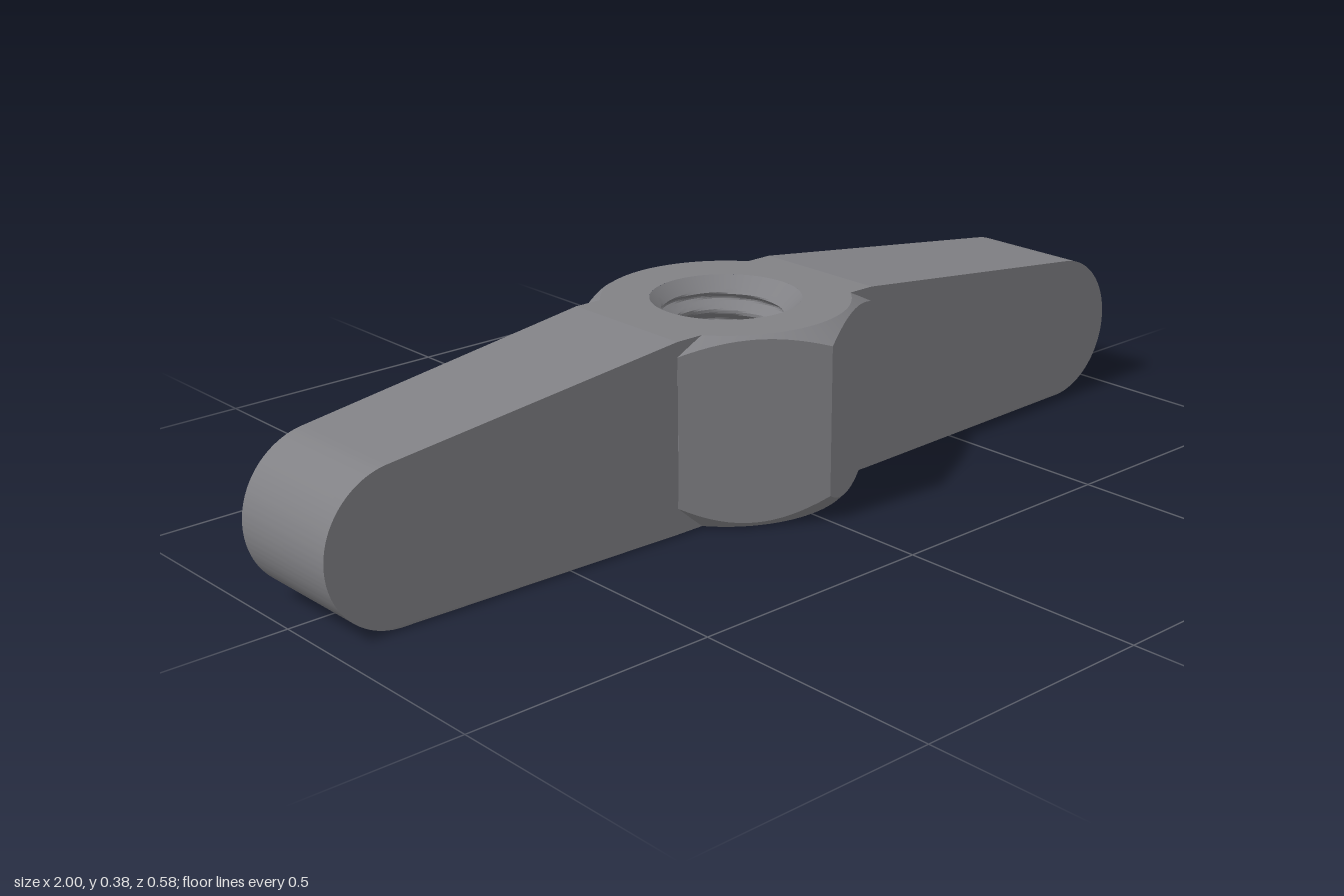
import * as THREE from 'three';
import { toCreasedNormals } from 'three/addons/utils/BufferGeometryUtils.js';

const HEIGHT = 0.375;
const APOTHEM = 0.25; // half the distance across the hexagon flats
const FACE_R = 0.24; // radius of the flat end faces inside the chamfer
const SINK_R = 0.146; // countersink radius at both ends of the bore
const MINOR = 0.107, MAJOR = 0.13, PITCH = 0.045;

const material = new THREE.MeshStandardMaterial({ color: 0x818185 });

// Sweeps a profile of [radius, y] points, which may vary with the angle, round the y axis
function sweep(profileAt, segments, crease) {
  const positions = [], indices = [];
  let count = 0;
  for (let i = 0; i <= segments; i++) {
    const angle = (i / segments) * Math.PI * 2;
    const profile = profileAt(angle);
    count = profile.length;
    for (const [r, y] of profile) positions.push(r * Math.sin(angle), y, r * Math.cos(angle));
  }
  for (let i = 0; i < segments; i++) {
    for (let j = 0; j < count - 1; j++) {
      const a = i * count + j, b = a + count;
      indices.push(a, b, b + 1, a, b + 1, a + 1);
    }
  }
  const geometry = new THREE.BufferGeometry();
  geometry.setAttribute('position', new THREE.Float32BufferAttribute(positions, 3));
  geometry.setIndex(indices);
  return toCreasedNormals(geometry, crease);
}

// Hexagonal outline cut by a conical chamfer at each end
function hexProfile(angle) {
  const sector = Math.PI / 3;
  const r = APOTHEM / Math.cos((angle % sector) - sector / 2);
  return [
    [SINK_R, 0],
    [FACE_R, 0],
    [r, (r - FACE_R) * 1.04],
    [r, HEIGHT - (r - FACE_R) * 0.6],
    [FACE_R, HEIGHT],
    [SINK_R, HEIGHT],
  ];
}

// Helical thread that runs out into the countersinks, listed downwards to face inwards
function boreProfile(angle) {
  const rows = 120, points = [];
  for (let j = 0; j <= rows; j++) {
    const y = HEIGHT * (1 - j / rows);
    const turns = y / PITCH - angle / (Math.PI * 2);
    const wave = Math.abs(2 * (turns - Math.floor(turns)) - 1);
    const depth = THREE.MathUtils.clamp(1.4 * wave - 0.25, 0, 1);
    const thread = MINOR + (MAJOR - MINOR) * depth;
    const sink = SINK_R - Math.min(y, HEIGHT - y);
    points.push([Math.max(thread, sink), y]);
  }
  return points;
}

// Sloping arm that narrows from the hexagon to a round end of even width
function wingGeometry() {
  const shape = new THREE.Shape();
  shape.moveTo(0.19, 0);
  shape.lineTo(0.25, 0);
  shape.lineTo(0.85, 0);
  shape.absarc(0.85, 0.15, 0.15, -Math.PI / 2, THREE.MathUtils.degToRad(83), false);
  shape.lineTo(0.25, HEIGHT);
  shape.lineTo(0.19, HEIGHT);
  shape.closePath();
  const geometry = new THREE.ExtrudeGeometry(shape, { depth: 1, bevelEnabled: false, curveSegments: 40 });
  const p = geometry.attributes.position;
  for (let i = 0; i < p.count; i++) {
    const taper = THREE.MathUtils.clamp((p.getX(i) - 0.25) / 0.6, 0, 1);
    p.setZ(i, (p.getZ(i) - 0.5) * 2 * (0.144 - 0.019 * taper));
  }
  return toCreasedNormals(geometry, 0.1);
}

export function createModel() {
  const group = new THREE.Group();
  group.name = 'wingNut';
  const add = (name, geometry) => {
    const mesh = new THREE.Mesh(geometry, material);
    mesh.name = name;
    group.add(mesh);
    return mesh;
  };

  add('hexBody', sweep(hexProfile, 96, 0.3));
  add('threadedBore', sweep(boreProfile, 72, 0.4));

  const wing = wingGeometry();
  add('leftWing', wing);
  add('rightWing', wing).rotation.y = Math.PI;
  return group;
}
